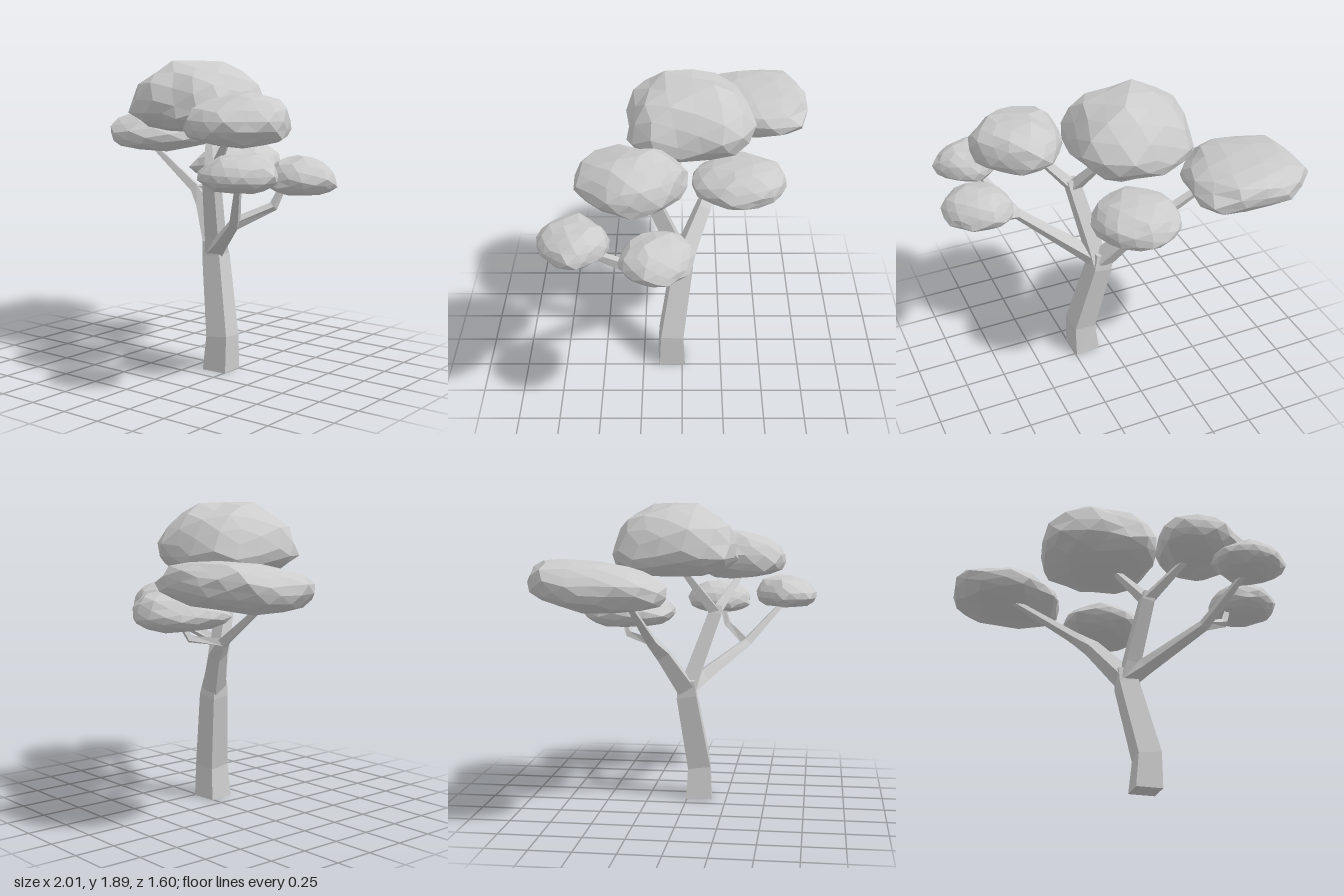
import * as THREE from 'three';
import { mergeVertices } from 'three/addons/utils/BufferGeometryUtils.js';

const material = new THREE.MeshStandardMaterial({ color: 0xcccccc, flatShading: true });

// Square-sectioned limb through [x, y, z] points, tapering from half width r0 to r1
function limb(name, r0, r1, ...points) {
  const pos = [], index = [];
  const centres = points.map((p) => new THREE.Vector3(...p));
  const last = points.length - 1;
  centres.forEach((centre, i) => {
    const t = centres[Math.min(i + 1, last)].clone().sub(centres[Math.max(i - 1, 0)]).normalize();
    if (centre.y === 0) t.set(0, 1, 0); // flat foot
    const u = new THREE.Vector3(1, 0, -0.08).projectOnPlane(t).normalize();
    const v = t.clone().cross(u);
    const r = THREE.MathUtils.lerp(r0, r1, i / last) * Math.SQRT2;
    for (let k = 0; k < 4; k++) {
      const a = Math.PI / 4 + k * Math.PI / 2;
      const c = centre.clone().addScaledVector(u, Math.cos(a) * r).addScaledVector(v, Math.sin(a) * r);
      pos.push(c.x, c.y, c.z);
    }
  });
  for (let i = 0; i < last; i++) {
    for (let k = 0; k < 4; k++) {
      const a = i * 4 + k, b = i * 4 + (k + 1) % 4;
      index.push(a, b, b + 4, a, b + 4, a + 4);
    }
  }
  const e = last * 4;
  index.push(0, 2, 1, 0, 3, 2, e, e + 1, e + 2, e, e + 2, e + 3);
  const geo = new THREE.BufferGeometry();
  geo.setAttribute('position', new THREE.Float32BufferAttribute(pos, 3));
  geo.setIndex(index);
  geo.computeVertexNormals();
  const mesh = new THREE.Mesh(geo, material);
  mesh.name = name;
  return mesh;
}

// Faceted leaf mass: a flattened sphere whose reach is given in eight plan
// directions, starting at +x and turning towards +z. rise and drop are measured
// from the centre; the upper half leans to the peak; tilt slopes it along z.
function crown(name, seed, { centre: [cx, cy, cz], reach, rise, drop, peak = [0, 0], tilt = 0, round = 0.95 }) {
  let geo = new THREE.IcosahedronGeometry(1, 2);
  geo.deleteAttribute('uv');
  geo.deleteAttribute('normal');
  geo = mergeVertices(geo, 1e-4);
  geo.rotateX(seed * 0.7);
  geo.rotateY(seed * 1.3);
  const pos = geo.attributes.position;
  const d = new THREE.Vector3();
  for (let i = 0; i < pos.count; i++) {
    d.fromBufferAttribute(pos, i);
    const a = Math.atan2(d.z, d.x);
    const turn = (a / (Math.PI * 2) + 1) * 8, k = Math.floor(turn);
    const radius = THREE.MathUtils.lerp(reach[k % 8], reach[(k + 1) % 8], turn - k);
    const lump = Math.sin(d.x * 6 + seed * 3) * Math.sin(d.z * 5 + seed * 5) * Math.cos(d.y * 4 + seed);
    const flat = Math.sqrt(Math.max(0, 1 - d.y * d.y));
    const spread = Math.pow(flat, d.y > 0 ? round : 0.75) * radius * (1.02 + 0.07 * lump);
    const lift = Math.max(d.y, 0) ** 2;
    const z = Math.sin(a) * spread;
    pos.setXYZ(i,
      cx + Math.cos(a) * spread + peak[0] * lift,
      cy + d.y * (d.y > 0 ? rise : drop) * (1 + 0.12 * lump) + tilt * z,
      cz + z + peak[1] * lift);
  }
  geo.computeVertexNormals();
  const mesh = new THREE.Mesh(geo, material);
  mesh.name = name;
  return mesh;
}

export function createModel() {
  const tree = new THREE.Group();
  tree.name = 'tree';

  // Trunk and branches
  const wood = new THREE.Group();
  wood.name = 'wood';
  const leftFork = [-0.23, 1.07, -0.18], middleFork = [0.17, 1.2, 0.17], rightFork = [0.48, 0.97, 0.35];
  wood.add(
    limb('trunk', 0.082, 0.052, [0.17, 0, 0.07], [0.18, 0.21, 0.07], [0.075, 0.69, 0], [0.06, 0.79, 0]),
    limb('leftBranch', 0.053, 0.014, [0.06, 0.74, -0.01], [-0.12, 0.98, -0.13], leftFork, [-0.66, 1.34, -0.24]),
    limb('leftTwig', 0.022, 0.014, leftFork, [-0.1, 1.09, -0.33], [-0.06, 1.2, -0.38]),
    limb('middleBranch', 0.054, 0.034, [0.08, 0.7, 0], [0.1, 0.83, 0.04], middleFork, [0.18, 1.25, 0.18]),
    limb('middleInnerTwig', 0.032, 0.016, middleFork, [0, 1.5, -0.03]),
    limb('middleOuterTwig', 0.032, 0.016, middleFork, [0.41, 1.45, 0.33]),
    limb('rightBranch', 0.05, 0.014, [0.07, 0.73, 0], [0.18, 0.79, 0.09], rightFork, [0.69, 1.24, 0.6]),
    limb('rightTwig', 0.026, 0.014, rightFork, [0.65, 1.07, 0.21], [0.7, 1.22, 0.16]),
  );
  tree.add(wood);

  // Leaf masses
  const leaves = new THREE.Group();
  leaves.name = 'leaves';
  leaves.add(
    crown('leftCrown', 1, { centre: [-0.65, 1.43, -0.42], reach: [0.34, 0.33, 0.41, 0.41, 0.34, 0.39, 0.36, 0.45],
      rise: 0.15, drop: 0.13, peak: [-0.05, -0.06], tilt: -0.09, round: 0.72 }),
    crown('topCrown', 2, { centre: [-0.1, 1.6, -0.04], reach: [0.34, 0.42, 0.35, 0.43, 0.36, 0.39, 0.38, 0.42],
      rise: 0.29, drop: 0.15 }),
    crown('rightUpperCrown', 3, { centre: [0.47, 1.53, 0.29], reach: [0.3, 0.26, 0.32, 0.33, 0.24, 0.28, 0.32, 0.28],
      rise: 0.18, drop: 0.13, peak: [0.03, -0.06] }),
    crown('backCrown', 4, { centre: [0, 1.23, -0.35], reach: [0.24, 0.25, 0.29, 0.31, 0.27, 0.27, 0.28, 0.26],
      rise: 0.14, drop: 0.1, peak: [0.02, -0.08] }),
    crown('rightLowerCrown', 5, { centre: [0.8, 1.22, 0.14], reach: [0.2, 0.2, 0.21, 0.2, 0.2, 0.23, 0.2, 0.18],
      rise: 0.14, drop: 0.08, peak: [-0.02, 0] }),
    crown('rightFrontCrown', 6, { centre: [0.7, 1.27, 0.6], reach: [0.22, 0.19, 0.2, 0.22, 0.23, 0.17, 0.2, 0.19],
      rise: 0.13, drop: 0.08, peak: [0.03, -0.03] }),
  );
  tree.add(leaves);
  return tree;
}
